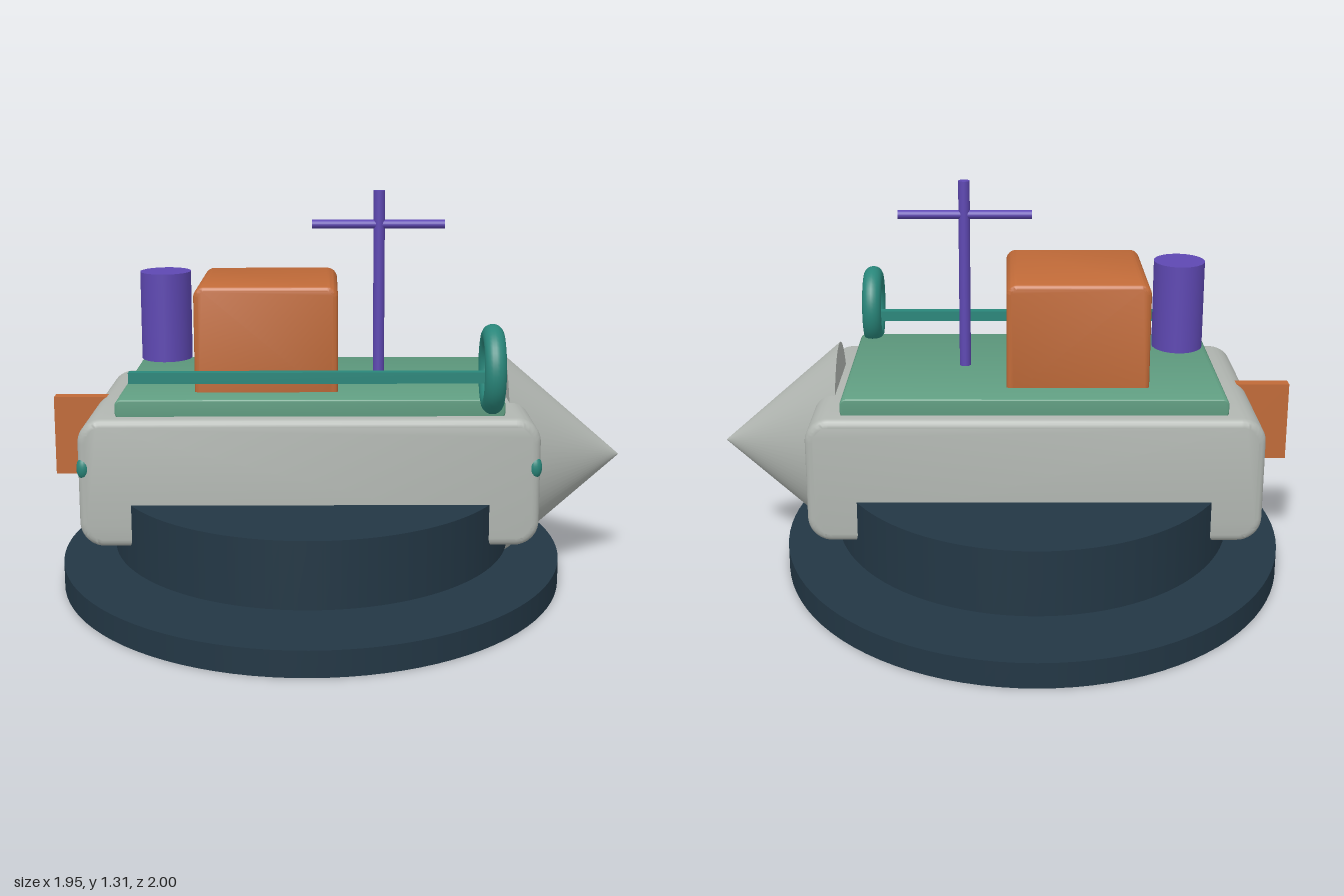
import * as THREE from 'three';
import { toCreasedNormals } from 'three/addons/utils/BufferGeometryUtils.js';

const paint = (name, color) => {
  const m = new THREE.MeshStandardMaterial({ color });
  m.name = name;
  return m;
};

// Box with corners rounded in the xy plane and a smaller bevel on the z ends
function roundedPrism(x0, x1, y0, y1, halfZ, r, bevel) {
  const s = new THREE.Shape();
  s.moveTo(x0 + r, y0);
  s.lineTo(x1 - r, y0);
  s.absarc(x1 - r, y0 + r, r, -Math.PI / 2, 0);
  s.lineTo(x1, y1 - r);
  s.absarc(x1 - r, y1 - r, r, 0, Math.PI / 2);
  s.lineTo(x0 + r, y1);
  s.absarc(x0 + r, y1 - r, r, Math.PI / 2, Math.PI);
  s.lineTo(x0, y0 + r);
  s.absarc(x0 + r, y0 + r, r, Math.PI, Math.PI * 1.5);
  const g = new THREE.ExtrudeGeometry(s, {
    depth: 2 * (halfZ - bevel), curveSegments: 8,
    bevelThickness: bevel, bevelSize: bevel, bevelOffset: -bevel, bevelSegments: 4,
  });
  g.translate(0, 0, bevel - halfZ);
  return toCreasedNormals(g, 0.6);
}

export function createModel() {
  const model = new THREE.Group();
  model.name = 'boatOnStand';
  const navy = paint('navy', 0x233745);
  const grey = paint('hullGrey', 0xb0b5b0);
  const green = paint('deckGreen', 0x5f9c80);
  const orange = paint('orange', 0xc06a38);
  const purple = paint('purple', 0x5e48b2);
  const teal = paint('teal', 0x29867a);

  const add = (name, geometry, material, x = 0, y = 0, z = 0) => {
    const mesh = new THREE.Mesh(geometry, material);
    mesh.name = name;
    mesh.position.set(x, y, z);
    model.add(mesh);
    return mesh;
  };
  // Upright elliptical cylinder between two heights
  const drum = (name, mat, x, y0, y1, rx, rz, segments) => add(name,
    new THREE.CylinderGeometry(1, 1, y1 - y0, segments).scale(rx, 1, rz), mat, x, (y0 + y1) / 2, 0);

  // Two-tier oval stand
  drum('standBase', navy, -0.095, 0, 0.083, 0.85, 1, 96);
  drum('standTop', navy, -0.095, 0.125, 0.34, 0.675, 0.79, 96);

  // Hull, deck and cabin
  add('hull', roundedPrism(-0.835, 0.64, 0.2, 0.62, 0.418, 0.08, 0.025), grey);
  add('deck', roundedPrism(-0.718, 0.528, 0.61, 0.675, 0.37, 0.02, 0.006), green);
  add('cabin', roundedPrism(-0.472, -0.005, 0.64, 1.02, 0.257, 0.035, 0.015), orange);

  // Pointed bow
  const bow = new THREE.ConeGeometry(1, 0.405, 64);
  bow.rotateZ(-Math.PI / 2).scale(1, 0.35, 0.225);
  add('bow', bow, grey, 0.7675, 0.4, 0);

  // Rudder at the stern
  add('rudder', new THREE.BoxGeometry(0.235, 0.27, 0.046), orange, -0.8575, 0.475, 0);

  // Funnel, mast and yard
  drum('funnel', purple, -0.585, 0.745, 1.04, 0.085, 0.1, 32);
  drum('mast', purple, 0.135, 0.66, 1.31, 0.019, 0.022, 24);
  add('yard', new THREE.CylinderGeometry(1, 1, 0.445, 20).rotateZ(Math.PI / 2).scale(1, 0.015, 0.018),
    purple, 0.1325, 1.197, 0);

  // Side rail with a ring at its forward end
  add('rail', new THREE.BoxGeometry(1.17, 0.036, 0.034), teal, -0.085, 0.747, 0.367);
  const ring = new THREE.TorusGeometry(0.109, 0.034, 20, 48);
  ring.rotateY(Math.PI / 2).scale(1, 1, 0.91);
  add('lifeRing', ring, teal, 0.48, 0.778, 0.396);

  // Small lamps on the front corners of the hull
  for (const [name, x] of [['sternLamp', -0.818], ['bowLamp', 0.623]]) {
    add(name, new THREE.SphereGeometry(1, 20, 14).scale(0.022, 0.036, 0.022), teal, x, 0.46, 0.402);
  }
  return model;
}
